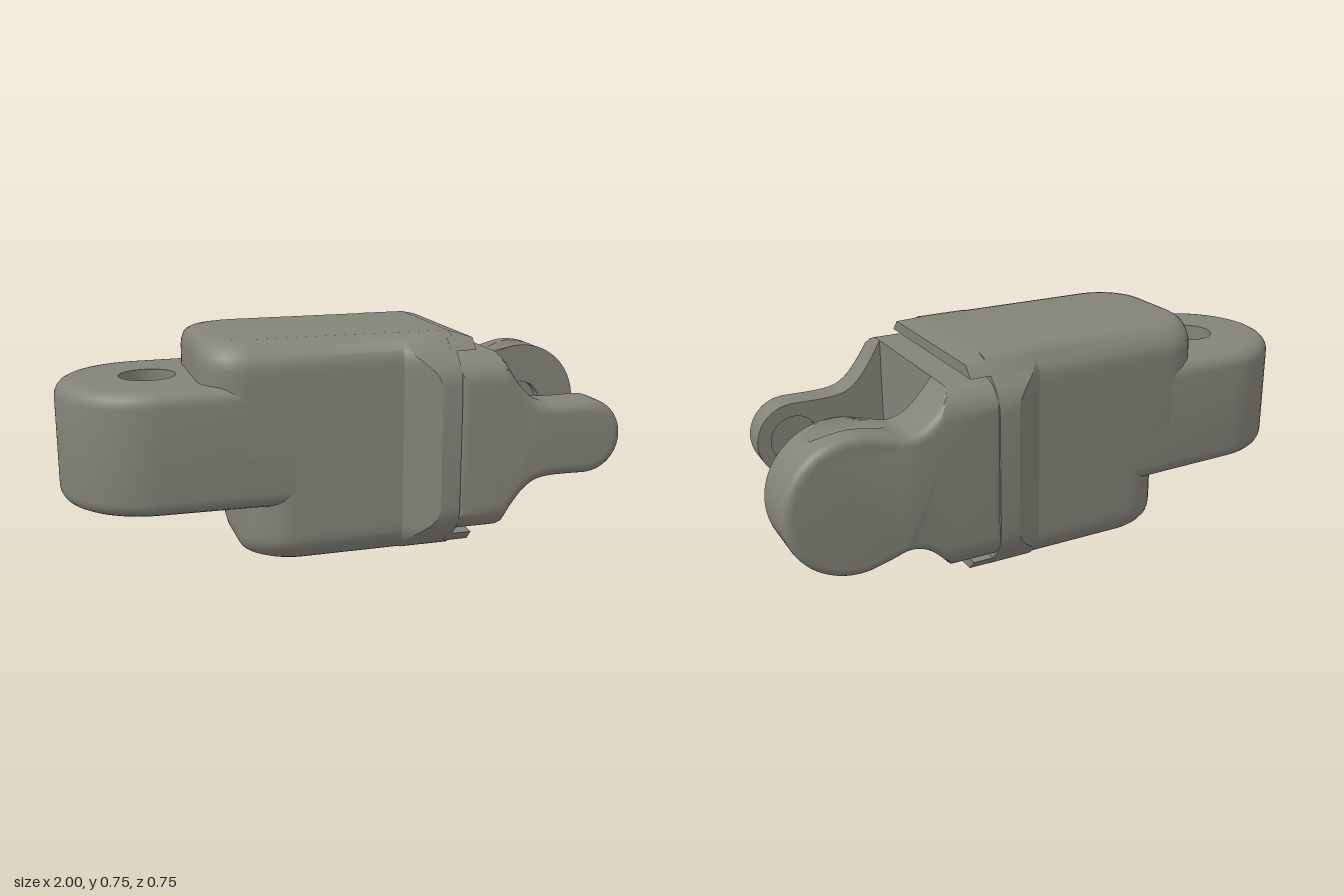
import * as THREE from 'three';
import { mergeGeometries, toCreasedNormals } from 'three/addons/utils/BufferGeometryUtils.js';

const MID = 0.3775; // height of the horizontal symmetry plane
const mat = new THREE.MeshStandardMaterial({ color: 0x848379, side: THREE.DoubleSide });
const V = (x, y) => new THREE.Vector2(x, y);

function mesh(name, geometry) {
  const m = new THREE.Mesh(geometry, mat);
  m.name = name;
  return m;
}

// Closes a half outline (right to left, y > 0) by mirroring it.
const mirror = half => [...half, ...half.map(p => V(p.x, -p.y)).reverse()];

// Moves every outline point inwards by d.
function inset(pts, d) {
  const n = pts.length;
  return pts.map((p, i) => {
    const t = pts[(i + 1) % n].clone().sub(pts[(i + n - 1) % n]).normalize();
    return V(p.x - t.y * d, p.y + t.x * d);
  });
}

// Skins equal-length counter-clockwise outlines stacked along z and caps both ends.
// Holes are [x, y, radius] and pierce the chosen caps.
function loft(rings, zs, startHole, endHole) {
  const n = rings[0].length, pos = [], idx = [];
  rings.forEach((r, k) => r.forEach(p => pos.push(p.x, p.y, zs[k])));
  for (let k = 0; k < rings.length - 1; k++) {
    for (let i = 0; i < n; i++) {
      const a = k * n + i, b = k * n + (i + 1) % n;
      idx.push(a, b, b + n, a, b + n, a + n);
    }
  }
  const skin = new THREE.BufferGeometry();
  skin.setAttribute('position', new THREE.Float32BufferAttribute(pos, 3));
  skin.setIndex(idx);
  skin.computeVertexNormals();
  const cap = (ring, z, hole, flip) => {
    const shape = new THREE.Shape(ring);
    if (hole) shape.holes.push(new THREE.Path().absarc(...hole, 0, Math.PI * 2, true));
    const g = new THREE.ShapeGeometry(shape, 16);
    g.translate(0, 0, z);
    g.deleteAttribute('uv');
    if (flip) g.index.array.reverse();
    return g.toNonIndexed();
  };
  const last = rings.length - 1;
  return toCreasedNormals(mergeGeometries([
    skin.toNonIndexed(),
    cap(rings[0], zs[0], startHole, true),
    cap(rings[last], zs[last], endHole, false),
  ]), 0.5);
}

// Half of the housing from the middle plane upwards: rounded sides that flare
// into a wider chamfered section. Each layer is [y, flared width, side width, end inset].
function housingHalf(left, radius) {
  const layers = [
    [MID, 0.375, 0.305, 0], [0.585, 0.375, 0.305, 0], [0.62, 0.37, 0.305, 0],
    [0.645, 0.358, 0.305, 0], [0.67, 0.34, 0.304, 0], [0.685, 0.325, 0.301, 0],
    [0.705, 0.305, 0.292, 0.001], [0.73, 0.28, 0.271, 0.006], [0.742, 0.267, 0.257, 0.014],
    [0.75, 0.25, 0.243, 0.025], [0.755, 0.225, 0.22, 0.042],
  ];
  const rings = layers.map(([, w, side, end]) => {
    const half = [V(0.29, w), V(0.111 + (w - side) / 0.07 * 0.11, w), V(0.11, side)];
    for (let i = 0; i <= 10; i++) {
      const a = Math.PI / 2 * (1 + i / 10);
      half.push(V(left + end + radius * (1 + Math.cos(a)), side - radius * (1 - Math.sin(a))));
    }
    return mirror(half);
  });
  return loft(rings, layers.map(l => l[0] - MID)).rotateX(-Math.PI / 2);
}

// Overhanging lip at the fork end of the housing.
function lip() {
  const rect = (x, w) => mirror([V(x, w), V(0.27, w)]);
  return loft([rect(0.36, 0.312), rect(0.36, 0.277), rect(0.29, 0.225)],
    [0.698 - MID, 0.735 - MID, 0.755 - MID]).rotateX(-Math.PI / 2);
}

// Tongue with rounded end and vertical pin hole.
function tongue() {
  const g = new THREE.Group();
  const half = [V(-0.2, 0.304)];
  for (let i = 0; i < 16; i++) {
    const a = Math.PI / 2 * (1 + (i + 0.01) / 16);
    half.push(V(-0.695 + 0.304 * Math.cos(a), 0.304 * Math.sin(a)));
  }
  half.push(V(-1, 0.008));
  const base = mirror(half), r = 0.05, h = 0.205, rings = [], zs = [];
  for (const s of [-1, 1]) {
    for (let i = 0; i <= 5; i++) {
      const a = Math.PI / 2 * (s < 0 ? 1 - i / 5 : i / 5);
      rings.push(inset(base, r * (1 - Math.cos(a))));
      zs.push(s * (h - r + r * Math.sin(a)));
    }
  }
  const hole = [-0.695, 0, 0.095];
  g.add(mesh('tongueBody', loft(rings, zs, hole, hole).rotateX(-Math.PI / 2)));
  const bore = mesh('pinHole', new THREE.CylinderGeometry(0.095, 0.095, 2 * h, 32, 1, true));
  bore.position.x = -0.695;
  g.add(bore);
  g.position.y = 0.41;
  return g;
}

// Fork arm built outwards along +z, with a blind socket on its inner face.
function forkArm({ cx, r, sweep, neck, inner, edge, groove }) {
  const g = new THREE.Group(), half = [], steps = 36;
  for (let i = 0; i <= steps; i++) {
    const a = sweep * (i + 0.2) / (steps + 0.2);
    half.push(V(cx + r * Math.cos(a), r * Math.sin(a)));
  }
  const curve = new THREE.SplineCurve([half[steps], ...neck.map(p => V(...p))]);
  half.push(...curve.getPoints(20).slice(1), V(0.28, 0.3075));
  const base = mirror(half), outer = 0.375, zs = [];
  for (let i = 0; i < 31; i++) zs.push(inner + (outer - edge - inner) * i / 31);
  for (let i = 0; i <= 6; i++) zs.push(outer - edge + edge * Math.sin(Math.PI / 2 * i / 6));
  const rings = zs.map(z => {
    const e = Math.max(0, z - outer + edge), c = Math.max(0, z - 0.275), q = z - 0.25;
    const blockLimit = 0.2075 + Math.sqrt(Math.max(0, 0.01 - c * c));
    const grooveLimit = 0.2575 - Math.sqrt(Math.max(0, 0.0036 - q * q));
    return inset(base, edge - Math.sqrt(Math.max(0, edge * edge - e * e))).map(p => {
      const lim = groove && p.x > 0.6 ? Math.min(blockLimit, grooveLimit) : blockLimit;
      return V(p.x, THREE.MathUtils.clamp(p.y, -lim, lim));
    });
  });
  g.add(mesh('armBody', loft(rings, zs, [cx, 0, 0.085])));
  const depth = 0.04;
  const wall = mesh('socketWall', new THREE.CylinderGeometry(0.085, 0.085, depth, 32, 1, true).rotateX(Math.PI / 2));
  wall.position.set(cx, 0, inner + depth / 2);
  const floor = mesh('socketFloor', new THREE.CircleGeometry(0.085, 32).rotateX(Math.PI));
  floor.position.set(cx, 0, inner + depth);
  g.add(wall, floor);
  g.position.y = MID;
  return g;
}

export function createModel() {
  const model = new THREE.Group();
  model.name = 'chainLink';
  const add = (name, part) => { part.name = name; model.add(part); return part; };

  // Housing and lips: lower parts are the upper ones turned over.
  const parts = [['upperHousing', housingHalf(-0.555, 0.15), 0], ['lowerHousing', housingHalf(-0.42, 0.17), Math.PI],
    ['upperLip', lip(), 0], ['lowerLip', lip(), Math.PI]];
  for (const [name, geometry, turn] of parts) {
    const part = add(name, mesh(name, geometry));
    part.position.y = MID;
    part.rotation.x = turn;
  }

  add('tongue', tongue());

  // Fork base between the two arms
  const base = add('forkBase', mesh('forkBase', new THREE.BoxGeometry(0.21, 0.615, 0.435)));
  base.position.set(0.335, MID, 0.0275);

  add('frontArm', forkArm({
    cx: 0.765, r: 0.132, sweep: Math.PI / 2, inner: 0.245, edge: 0.04,
    neck: [[0.62, 0.133], [0.55, 0.158], [0.49, 0.225], [0.44, 0.3075]],
  }));
  const back = add('backArm', forkArm({
    cx: 0.77, r: 0.23, sweep: 1.75, inner: 0.19, edge: 0.03, groove: true,
    neck: [[0.66, 0.208], [0.6, 0.192], [0.54, 0.208], [0.49, 0.25], [0.44, 0.3075]],
  }));
  back.rotation.x = Math.PI;
  return model;
}
